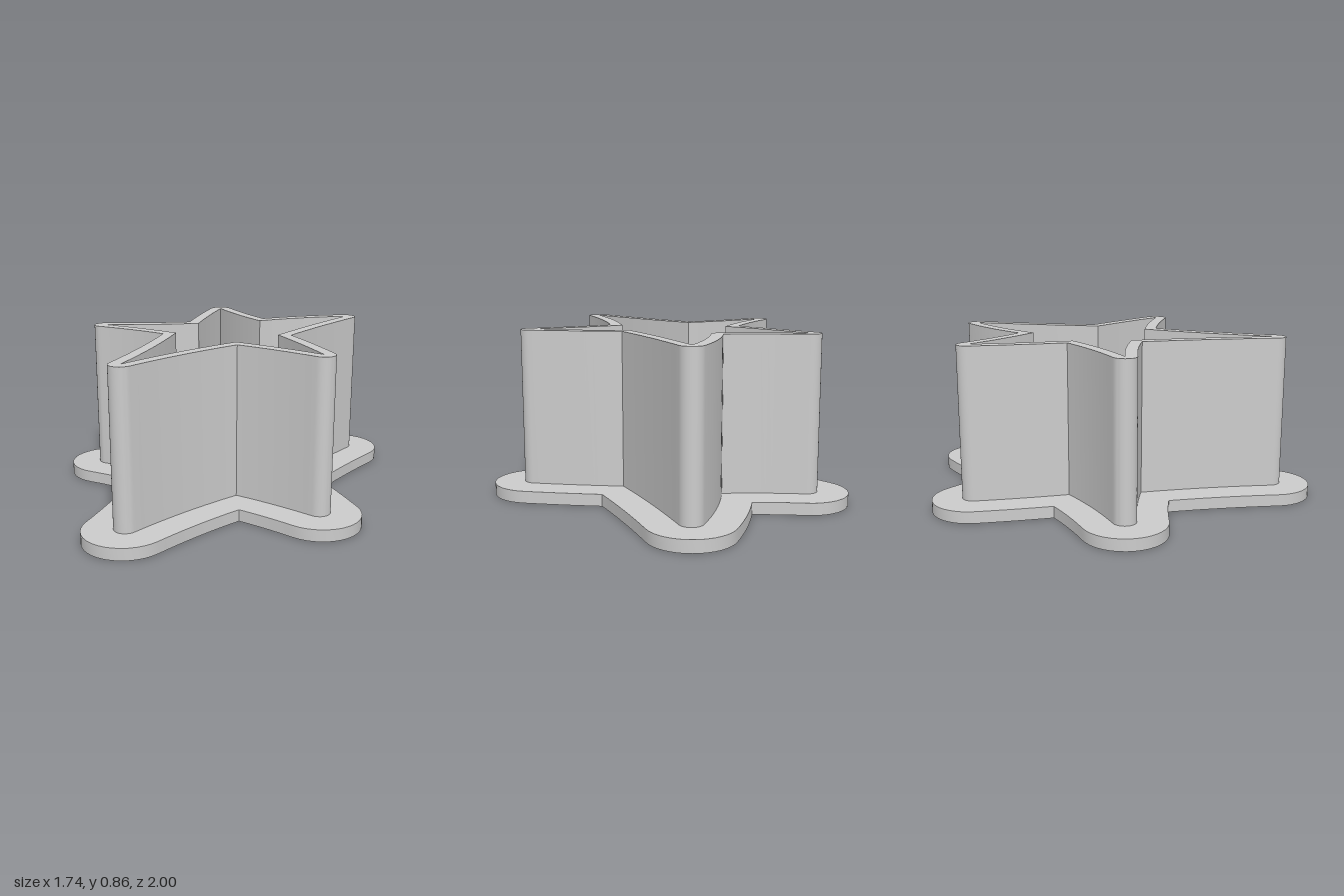
import * as THREE from 'three';
import { toCreasedNormals } from 'three/addons/utils/BufferGeometryUtils.js';

// Star corners [x, z, bulge of the edge that follows], tips and valleys alternating
const CORNERS = [
  [-0.109, -0.785, -0.012], [0.18, -0.4, 0.02],
  [0.656, -0.63, -0.01], [0.323, 0, 0.006],
  [0.581, 0.436, -0.01], [0.132, 0.215, -0.018],
  [-0.308, 0.785, -0.014], [-0.217, 0.03, -0.012],
  [-0.656, -0.14, -0.015], [-0.15, -0.262, 0.006],
];
const STEPS = 14;
const WALL = 0.06, FLANGE = 0.215;
const BASE_H = 0.062, TOP = 0.861;

// One gently curved edge, pushed outward by d
function edge(i, d) {
  const [x0, z0, bulge] = CORNERS[i];
  const [x1, z1] = CORNERS[(i + 1) % CORNERS.length];
  const a = new THREE.Vector2(x0, -z0), b = new THREE.Vector2(x1, -z1);
  const dir = b.clone().sub(a), len = dir.length();
  dir.normalize();
  const nor = new THREE.Vector2(-dir.y, dir.x);
  const pts = [];
  for (let k = 0; k <= STEPS; k++) {
    const t = k / STEPS;
    const slope = 4 * bulge * (1 - 2 * t) / len;
    const n = nor.clone().addScaledVector(dir, -slope).normalize();
    pts.push(a.clone().lerp(b, t).addScaledVector(nor, 4 * bulge * t * (1 - t)).addScaledVector(n, d));
  }
  return pts;
}

// Trim two edges where they cross, leaving a sharp valley
function joinValley(p, q) {
  for (let i = p.length - 2; i >= 0; i--) {
    for (let j = 0; j < q.length - 1; j++) {
      const r = p[i + 1].clone().sub(p[i]), s = q[j + 1].clone().sub(q[j]);
      const w = q[j].clone().sub(p[i]), c = r.cross(s);
      if (Math.abs(c) < 1e-9) continue;
      const t = w.cross(s) / c, u = w.cross(r) / c;
      if (t >= 0 && t <= 1 && u >= 0 && u <= 1) {
        const hit = p[i].clone().addScaledVector(r, t);
        return [...p.slice(0, i + 1), hit, ...q.slice(j + 1)];
      }
    }
  }
  return [...p, ...q];
}

// Clockwise star outline at distance d: rounded tips, sharp valleys
function outline(d) {
  const pts = [];
  const n = CORNERS.length;
  for (let v = 1; v < n; v += 2) {
    if (d === 0) {
      pts.push(...edge(v - 1, 0).slice(0, -1), ...edge(v, 0).slice(0, -1));
      continue;
    }
    const tip = new THREE.Vector2(CORNERS[v - 1][0], -CORNERS[v - 1][1]);
    const from = edge((v + n - 2) % n, d)[STEPS].sub(tip).angle();
    const to = edge(v - 1, d)[0].sub(tip).angle();
    const sweep = (from - to + 4 * Math.PI) % (2 * Math.PI);
    for (let k = 1; k < 16; k++) {
      const a = from - sweep * k / 16;
      pts.push(new THREE.Vector2(tip.x + d * Math.cos(a), tip.y + d * Math.sin(a)));
    }
    pts.push(...joinValley(edge(v - 1, d), edge(v, d)));
  }
  return pts;
}

// Hollow star ring standing between two heights (outside counter-clockwise, hole clockwise)
function ring(name, d, y0, y1, material) {
  const shape = new THREE.Shape(outline(d).reverse());
  shape.holes.push(new THREE.Path(outline(0)));
  let geo = new THREE.ExtrudeGeometry(shape, { depth: y1 - y0, bevelEnabled: false });
  geo.rotateX(-Math.PI / 2);
  geo.translate(0, y0, 0);
  geo = toCreasedNormals(geo, Math.PI / 6);
  const mesh = new THREE.Mesh(geo, material);
  mesh.name = name;
  return mesh;
}

export function createModel() {
  const group = new THREE.Group();
  group.name = 'starCutter';
  const grey = new THREE.MeshStandardMaterial({ color: 0xcccccc });
  grey.name = 'light grey';
  group.add(ring('baseFlange', FLANGE, 0, BASE_H, grey));
  group.add(ring('cutterWall', WALL, BASE_H, TOP, grey));
  return group;
}
